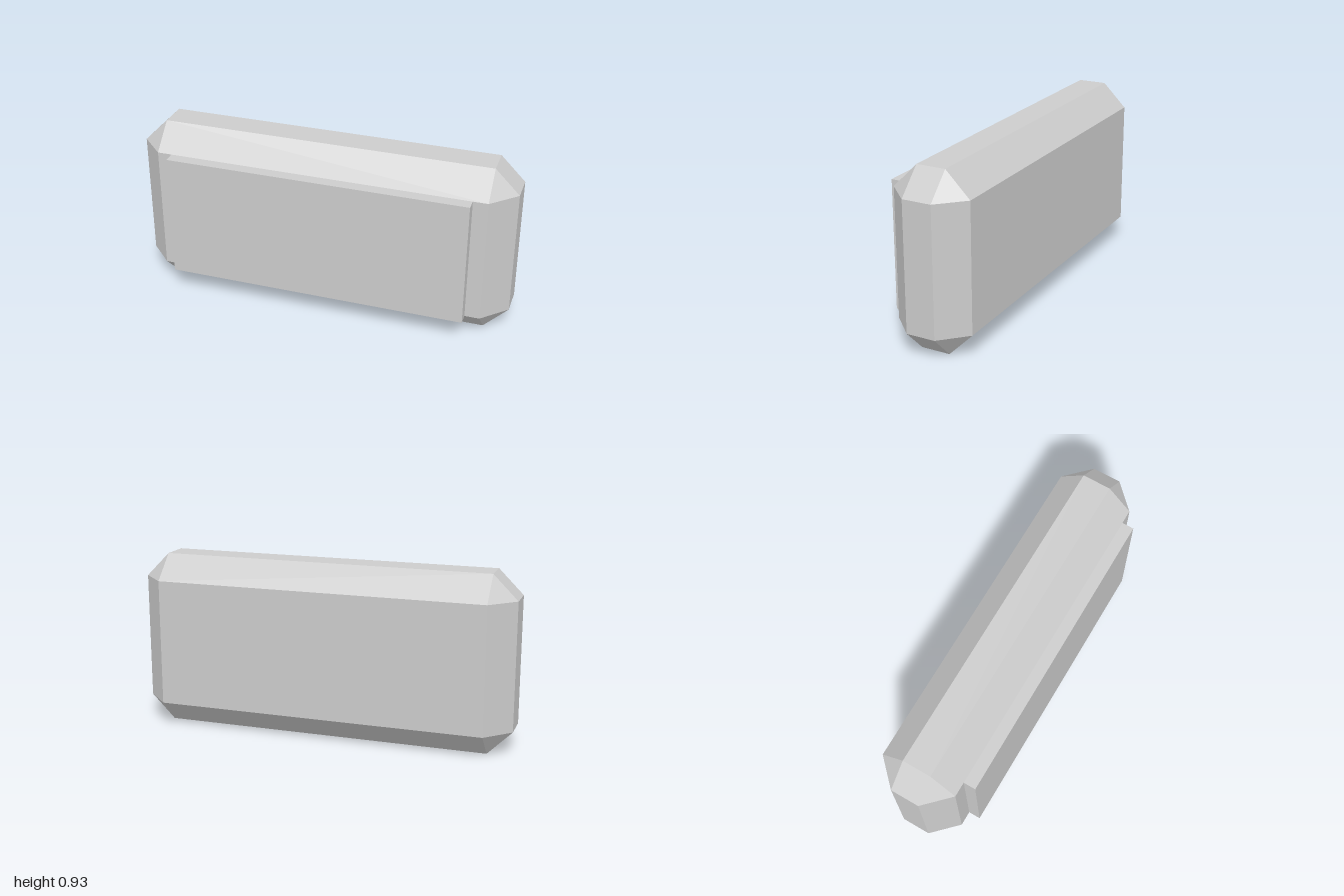
import * as THREE from 'three';
import { ConvexGeometry } from 'three/addons/geometries/ConvexGeometry.js';

// Box with every edge and corner cut at 45 degrees, centred on the origin
function chamferedBox(width, height, depth, cut) {
  const [x, y, z] = [width / 2, height / 2, depth / 2];
  const points = [];
  for (const sx of [-1, 1]) for (const sy of [-1, 1]) for (const sz of [-1, 1]) {
    points.push(
      new THREE.Vector3(sx * x, sy * (y - cut), sz * (z - cut)),
      new THREE.Vector3(sx * (x - cut), sy * y, sz * (z - cut)),
      new THREE.Vector3(sx * (x - cut), sy * (y - cut), sz * z)
    );
  }
  return new ConvexGeometry(points);
}

export function createModel() {
  const model = new THREE.Group();
  model.name = 'chamferedPanel';
  const grey = new THREE.MeshStandardMaterial({ color: 0xcccccc });
  grey.name = 'light grey';

  // Main chamfered body
  const body = new THREE.Mesh(chamferedBox(2, 0.925, 0.408, 0.128), grey);
  body.name = 'body';
  body.position.set(0, 0.4625, -0.032);
  model.add(body);

  // Raised plate on the front, sunk slightly into the body
  const plate = new THREE.Mesh(new THREE.BoxGeometry(1.59, 0.669, 0.074), grey);
  plate.name = 'frontPlate';
  plate.position.set(0, 0.4625, 0.199);
  model.add(plate);

  return model;
}
